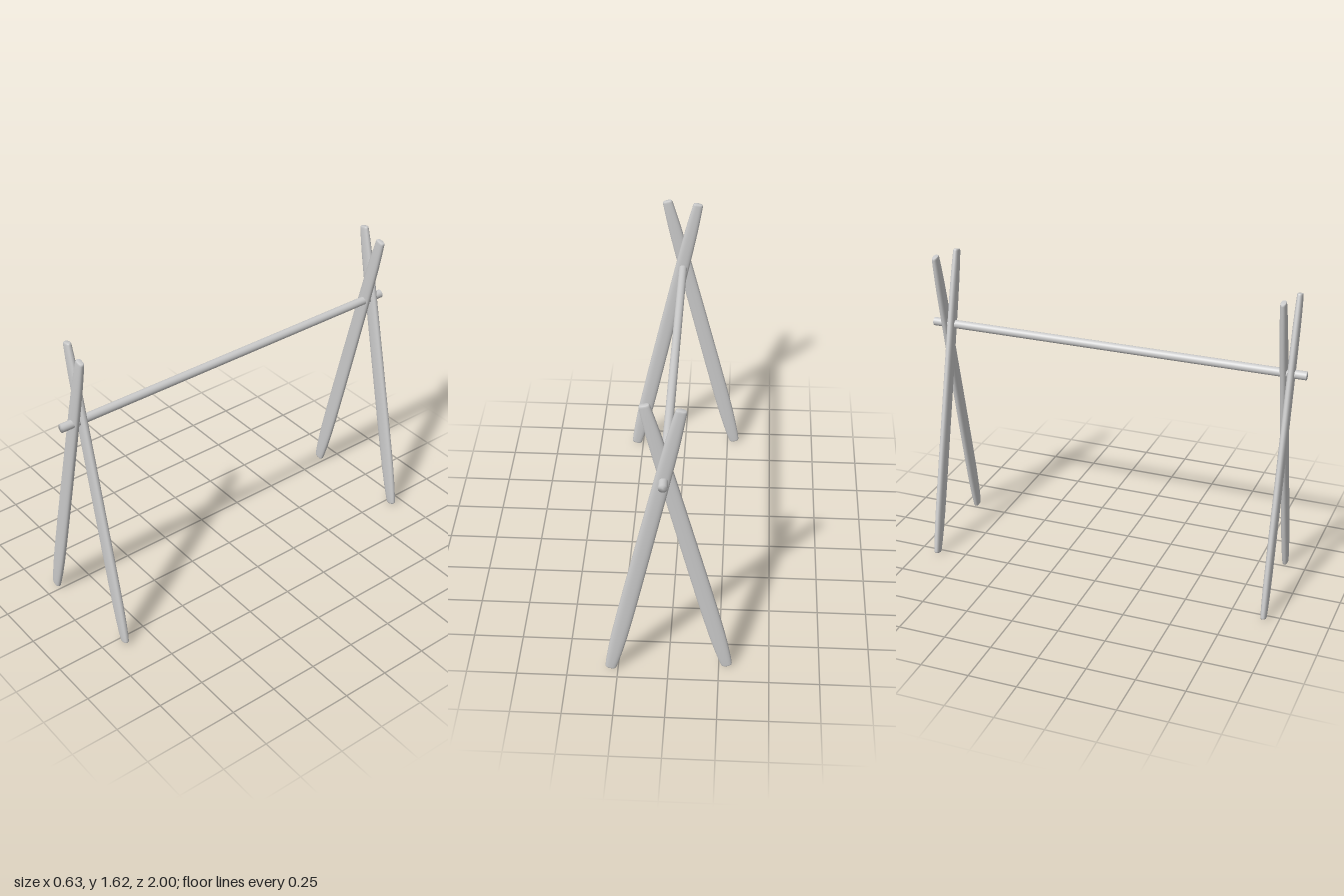
import * as THREE from 'three';
import { mergeVertices } from 'three/addons/utils/BufferGeometryUtils.js';

const material = new THREE.MeshStandardMaterial({ color: 0xcccccc });

// Weld all corners so the shading flows over the ends
function smooth(geometry) {
  geometry.deleteAttribute('normal');
  geometry.deleteAttribute('uv');
  const welded = mergeVertices(geometry, 1e-5);
  welded.computeVertexNormals();
  return welded;
}

// Leg stations from foot to top: [distance from foot, half width, half thickness]
const LEG_LENGTH = 1.645;
const stations = [
  [0, 0, 0], [0, 0.022, 0.012], [0.003, 0.0255, 0.0135], [0.01, 0.028, 0.0145],
  [0.05, 0.032, 0.016], [0.12, 0.0365, 0.0175], [0.22, 0.0405, 0.018], [0.35, 0.042, 0.018],
  [0.55, 0.042, 0.018], [0.85, 0.0405, 0.018], [1.15, 0.0385, 0.018], [1.35, 0.0365, 0.018],
  [1.48, 0.034, 0.0175], [1.57, 0.03, 0.0165], [1.635, 0.0265, 0.0145], [1.642, 0.0245, 0.0135],
  [1.645, 0.021, 0.012], [1.645, 0, 0],
];

// Flattened pole with fuller-than-oval sections and blunt tapered ends
function legGeometry() {
  const profile = stations.map(([d, w]) => new THREE.Vector2(w, d - LEG_LENGTH / 2));
  const geometry = new THREE.LatheGeometry(profile, 32);
  const position = geometry.attributes.position;
  const fuller = (v) => Math.sign(v) * Math.abs(v) ** 0.8;
  for (let i = 0; i < position.count; i++) {
    const [, w, t] = stations[i % stations.length];
    if (w === 0) continue;
    position.setX(i, w * fuller(position.getX(i) / w));
    position.setZ(i, t * fuller(position.getZ(i) / w));
  }
  return smooth(geometry);
}

// Leg standing with its foot centre at (x0, y0), leaning towards (x1, y1)
function makeLeg(name, geometry, x0, y0, x1, y1, z) {
  const leg = new THREE.Mesh(geometry, material);
  leg.name = name;
  leg.position.set((x0 + x1) / 2, (y0 + y1) / 2, z);
  leg.rotation.z = -Math.atan2(x1 - x0, y1 - y0);
  return leg;
}

// Two crossed legs lying against each other
function makeTrestle(name, geometry, z) {
  const trestle = new THREE.Group();
  trestle.name = name;
  trestle.add(
    makeLeg('rightFootLeg', geometry, -0.291, 0.007, 0.103, 1.611, 0.0195),
    makeLeg('leftFootLeg', geometry, 0.287, 0.007, -0.065, 1.614, -0.0195),
  );
  trestle.position.z = z;
  return trestle;
}

export function createModel() {
  const model = new THREE.Group();
  model.name = 'trestleRack';
  const geometry = legGeometry();
  model.add(makeTrestle('frontTrestle', geometry, 0.905), makeTrestle('backTrestle', geometry, -0.916));

  // Rail passing through both crossings
  const rail = new THREE.Mesh(smooth(new THREE.CylinderGeometry(0.022, 0.022, 2, 32)), material);
  rail.name = 'crossRail';
  rail.rotation.x = Math.PI / 2;
  rail.position.set(0.016, 1.224, 0);
  model.add(rail);
  return model;
}
